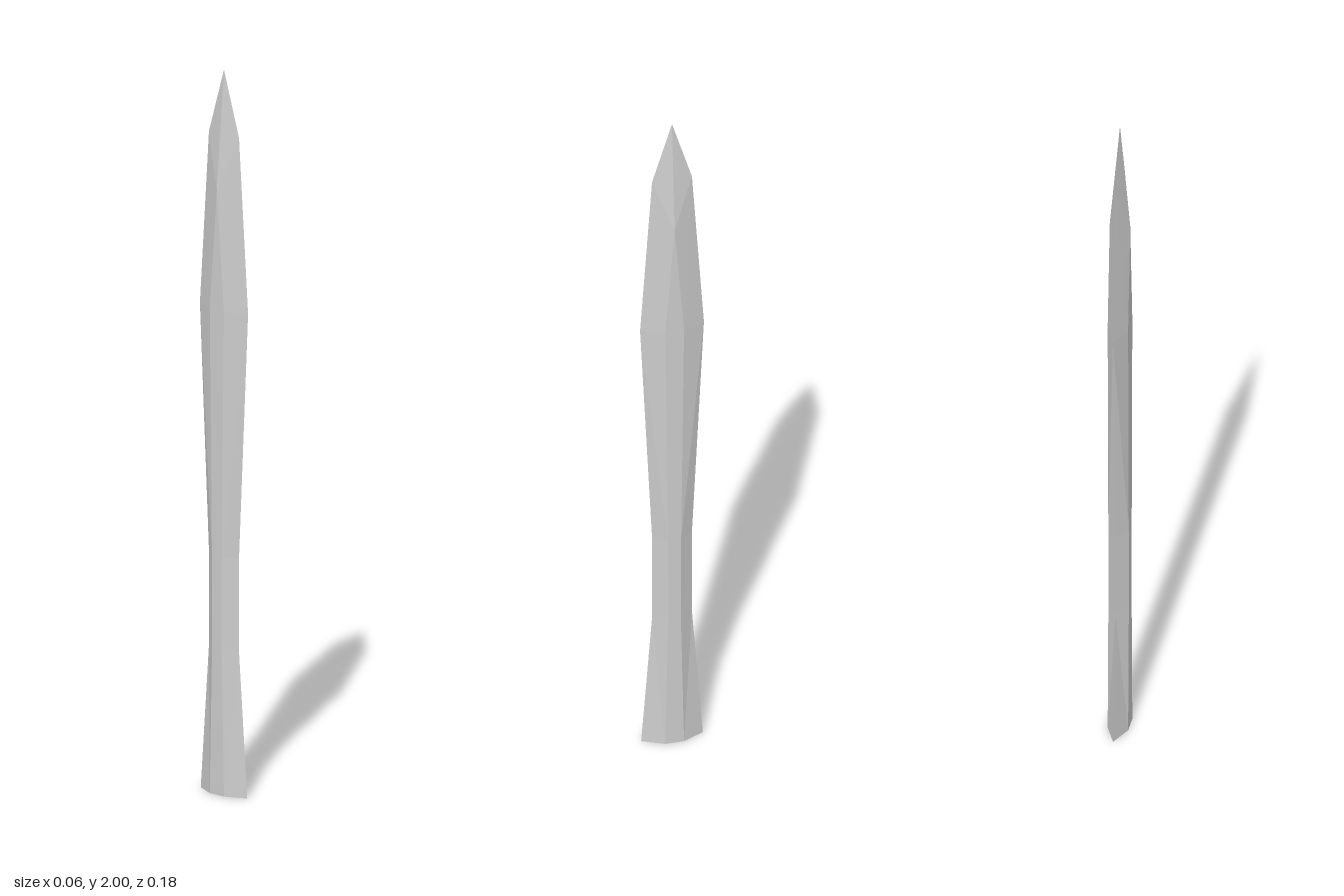
import * as THREE from 'three';

const W = 0.028; // half thickness across the flats

// One six-sided section: two ridges (front, back) and a narrow flat on each side
function section(ridgeY, depth, flatY, flat, w = W) {
  return [
    [0, ridgeY, depth], [w, flatY, flat], [w, flatY, -flat],
    [0, ridgeY, -depth], [-w, flatY, -flat], [-w, flatY, flat],
  ].map((p) => new THREE.Vector3(...p));
}

// Skin the sections from bottom to top, dropping collapsed triangles
function loft(rings) {
  const points = [];
  const tri = (a, b, c) => {
    const area = new THREE.Triangle(a, b, c).getArea();
    if (area > 1e-9) points.push(a, b, c);
  };
  for (let j = 0; j < rings.length - 1; j++) {
    for (let k = 0; k < 6; k++) {
      const n = (k + 1) % 6;
      const [a, b, c, d] = [rings[j][k], rings[j][n], rings[j + 1][n], rings[j + 1][k]];
      // Mirror the diagonals so every ridge face splits the same way
      if (k === 0 || k === 3) { tri(a, b, d); tri(b, c, d); }
      else { tri(a, b, c); tri(a, c, d); }
    }
  }
  // Flat base
  const base = rings[0];
  for (let k = 1; k < 5; k++) tri(base[0], base[k + 1], base[k]);
  const geometry = new THREE.BufferGeometry().setFromPoints(points);
  geometry.computeVertexNormals();
  return geometry;
}

export function createModel() {
  const group = new THREE.Group();
  group.name = 'bladeModel';
  const material = new THREE.MeshStandardMaterial({ color: 0xcccccc, flatShading: true });

  const blade = new THREE.Mesh(loft([
    section(0, 0.085, 0, 0.026),        // flared base
    section(0.4, 0.055, 0.42, 0.017),   // waist
    section(0.66, 0.055, 0.66, 0.018),  // top of waist
    section(1.34, 0.088, 1.34, 0.026),  // widest part of the leaf
    section(1.82, 0.055, 1.67, 0),      // shoulders, flats run out to a point
    section(2, 0, 2, 0, 0),             // tip
  ]), material);
  blade.name = 'blade';
  group.add(blade);
  return group;
}
